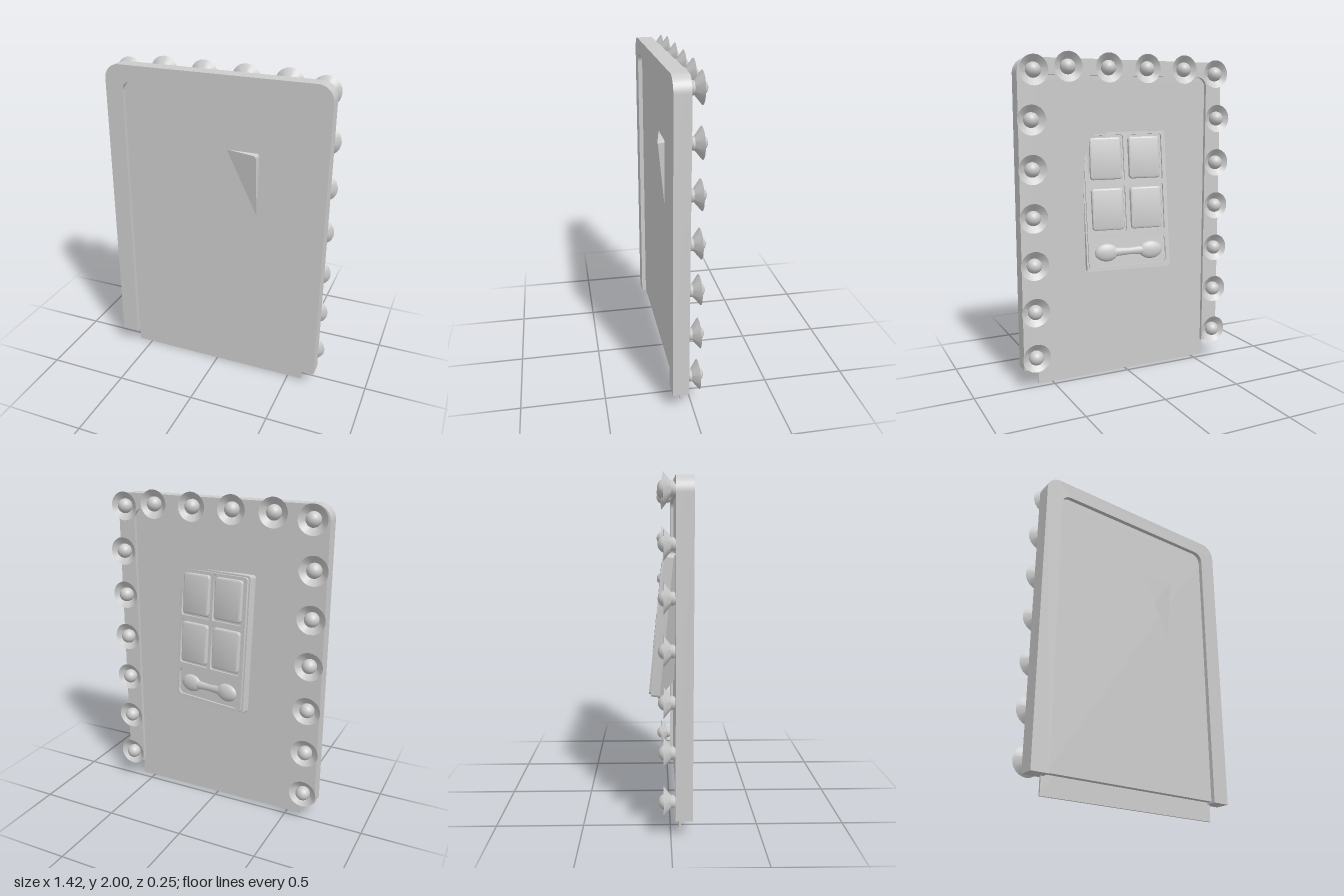
import * as THREE from 'three';
import { toCreasedNormals } from 'three/addons/utils/BufferGeometryUtils.js';

const grey = new THREE.MeshStandardMaterial({ color: 0xcccccc });
const greyOpen = new THREE.MeshStandardMaterial({ color: 0xcccccc, side: THREE.DoubleSide });

function add(parent, name, geometry, x = 0, y = 0, z = 0, material = grey) {
  const mesh = new THREE.Mesh(geometry, material);
  mesh.name = name;
  mesh.position.set(x, y, z);
  parent.add(mesh);
  return mesh;
}

// Upright arch outline with rounded top corners, continuing the given path
function archPath(path, halfWidth, top, bottom, r) {
  path.lineTo(halfWidth, bottom);
  path.lineTo(halfWidth, top - r);
  path.absarc(halfWidth - r, top - r, r, 0, Math.PI / 2);
  path.absarc(-halfWidth + r, top - r, r, Math.PI / 2, Math.PI);
  path.lineTo(-halfWidth, bottom);
  return path;
}

function roundedRect(path, cx, cy, w, h, r) {
  const x = w / 2 - r, y = h / 2 - r;
  path.absarc(cx + x, cy + y, r, 0, Math.PI / 2);
  path.absarc(cx - x, cy + y, r, Math.PI / 2, Math.PI);
  path.absarc(cx - x, cy - y, r, Math.PI, Math.PI * 1.5);
  path.absarc(cx + x, cy - y, r, Math.PI * 1.5, Math.PI * 2);
  path.closePath();
  return path;
}

// Extrusion filling z0..z1, with optional bevel on both ends
function slab(shape, z0, z1, bevel = 0) {
  const g = new THREE.ExtrudeGeometry(shape, {
    depth: z1 - z0 - 2 * bevel, curveSegments: 8, bevelEnabled: bevel > 0,
    bevelThickness: bevel, bevelSize: bevel, bevelOffset: -bevel, bevelSegments: 2,
  });
  g.translate(0, 0, z0 + bevel);
  return toCreasedNormals(g, 0.5);
}

// Outer arch walked up, inner arch walked back down
function frameShape() {
  const shape = new THREE.Shape();
  shape.moveTo(0.575, 0.105);
  archPath(shape, 0.685, 1.965, 0.105, 0.09);
  shape.lineTo(-0.575, 0.105);
  shape.lineTo(-0.575, 1.81);
  shape.absarc(-0.515, 1.81, 0.06, Math.PI, Math.PI / 2, true);
  shape.absarc(0.515, 1.81, 0.06, Math.PI / 2, 0, true);
  shape.closePath();
  return shape;
}

function archShape(halfWidth, top, bottom, r) {
  const shape = new THREE.Shape();
  shape.moveTo(-halfWidth, bottom);
  return archPath(shape, halfWidth, top, bottom, r);
}

// Lamp: neck, open flared dish and round bulb, pointing to -z
function createLamp(x, y) {
  const lamp = new THREE.Group();
  lamp.name = 'lamp';
  lamp.position.set(x, y, 0.028);
  lamp.rotation.x = -Math.PI / 2;
  const profile = (list) => list.map(([r, h]) => new THREE.Vector2(r, h));
  add(lamp, 'lampNeck', new THREE.LatheGeometry(
    profile([[0.024, 0], [0.036, 0.012], [0.038, 0.022], [0.03, 0.034]]), 20), 0, 0, 0, greyOpen);
  add(lamp, 'lampDish', toCreasedNormals(new THREE.LatheGeometry(
    profile([[0.001, 0.022], [0.032, 0.024], [0.087, 0.068]]), 24), 0.5), 0, 0, 0, greyOpen);
  add(lamp, 'lampBulb', new THREE.SphereGeometry(0.045, 20, 14), 0, 0.053, 0);
  return lamp;
}

// Tray of four pans and a double-ended applicator, opening to -z
function createPalette() {
  const palette = new THREE.Group();
  palette.name = 'palette';
  const w = 0.53, h = 0.85;
  add(palette, 'paletteBase', slab(roundedRect(new THREE.Shape(), 0, 0, w, h, 0.015), -0.055, 0));

  const rim = roundedRect(new THREE.Shape(), 0, 0, w - 0.02, h - 0.02, 0.02);
  const pans = [];
  for (const x of [-0.122, 0.122]) for (const y of [0.265, -0.045]) pans.push([x, y]);
  for (const [x, y] of pans) rim.holes.push(roundedRect(new THREE.Path(), x, y, 0.228, 0.285, 0.015));
  rim.holes.push(roundedRect(new THREE.Path(), 0, -0.312, 0.472, 0.17, 0.03));
  add(palette, 'paletteRim', slab(rim, -0.07, -0.05));

  for (const [x, y] of pans) {
    add(palette, 'pan', slab(roundedRect(new THREE.Shape(), 0, 0, 0.2, 0.257, 0.02), -0.08, -0.045, 0.012), x, y);
  }

  const applicator = new THREE.Group();
  applicator.name = 'applicator';
  applicator.position.set(0, -0.312, -0.06);
  palette.add(applicator);
  for (const side of [-1, 1]) {
    add(applicator, 'applicatorTip', new THREE.SphereGeometry(1, 20, 12), side * 0.14, 0, 0)
      .scale.set(0.075, 0.055, 0.026);
  }
  const waist = [[0.036, -0.12], [0.026, -0.07], [0.021, 0], [0.026, 0.07], [0.036, 0.12]];
  const handle = add(applicator, 'applicatorHandle',
    new THREE.LatheGeometry(waist.map(([r, t]) => new THREE.Vector2(r, t)), 16));
  handle.rotation.z = Math.PI / 2;
  handle.scale.z = 0.65;

  palette.position.set(0.007, 1.105, 0.037);
  palette.rotation.set(0.1, -0.2, 0);
  return palette;
}

export function createModel() {
  const model = new THREE.Group();
  model.name = 'vanityMirror';

  // Arched frame, backing panel and glass
  add(model, 'frame', slab(frameShape(), 0.025, 0.12));
  add(model, 'backPanel', slab(archShape(0.59, 1.89, 0, 0.05), 0.046, 0.058));
  add(model, 'mirrorGlass', slab(archShape(0.58, 1.875, 0.115, 0.06), 0.057, 0.093));

  // Lamps up both sides, at the corners and across the top
  for (const side of [-1, 1]) {
    for (let i = 0; i < 6; i++) model.add(createLamp(side * 0.623, 0.195 + i * 0.283));
    model.add(createLamp(side * 0.605, 1.89));
  }
  for (let i = 0; i < 4; i++) model.add(createLamp(-0.375 + i * 0.257, 1.913));

  model.add(createPalette());
  return model;
}
